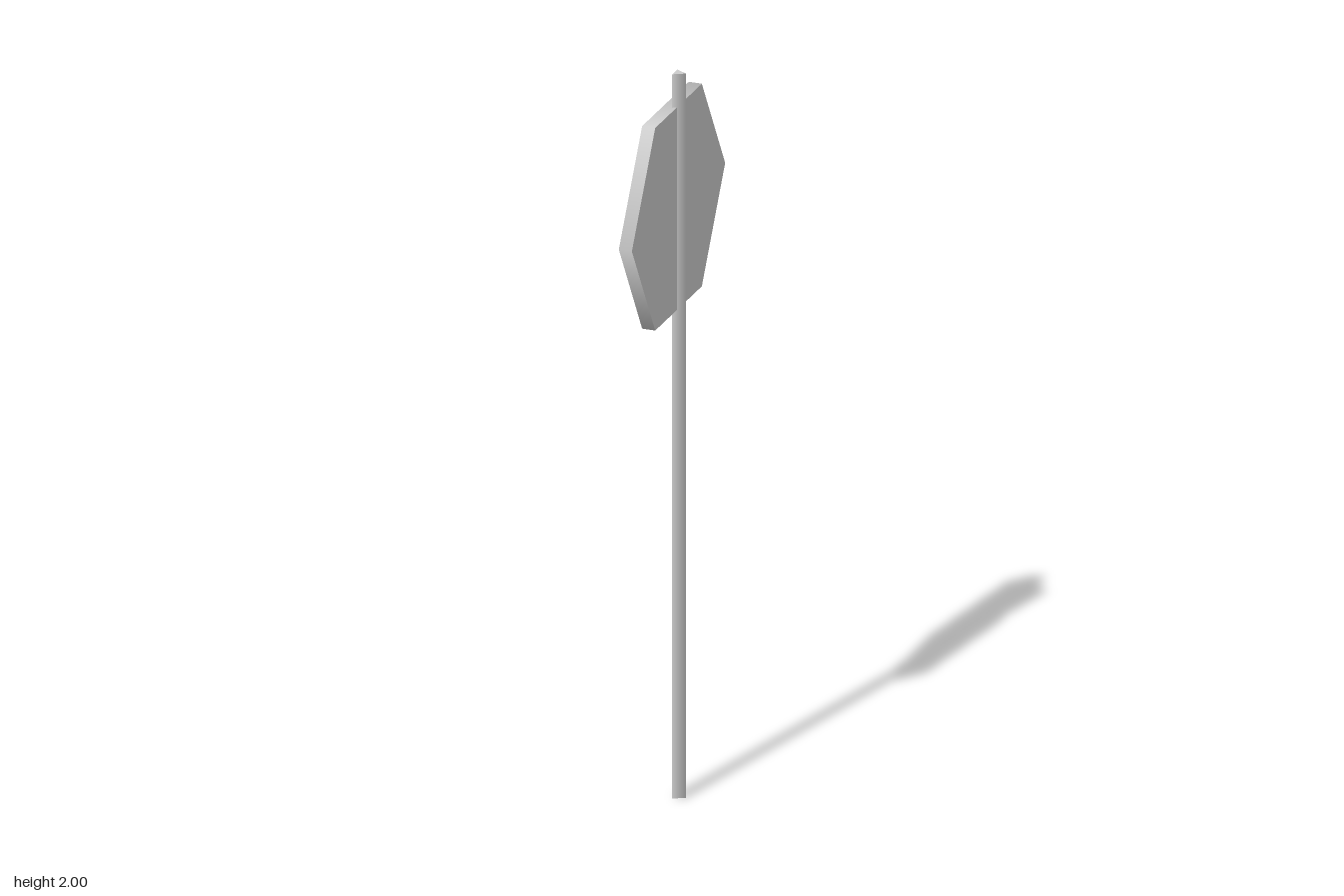
import * as THREE from 'three';

export function createModel() {
  const group = new THREE.Group();
  const material = new THREE.MeshStandardMaterial({ color: 0xcccccc });

  function addPart(name, geometry, x, y) {
    const mesh = new THREE.Mesh(geometry, material);
    mesh.name = name;
    mesh.position.set(x, y, 0);
    group.add(mesh);
  }

  // Three-sided post with one corner pointing to +x
  const postRadius = 0.0207;
  addPart('post', new THREE.CylinderGeometry(postRadius, postRadius, 2, 3, 1, false, Math.PI / 2), 0.0075, 1);

  // Hexagonal sign plate facing sideways, corners towards front and back
  const plate = new THREE.CylinderGeometry(0.323, 0.323, 0.036, 6);
  plate.rotateZ(Math.PI / 2);
  addPart('signPlate', plate, -0.0105, 1.628);

  return group;
}
